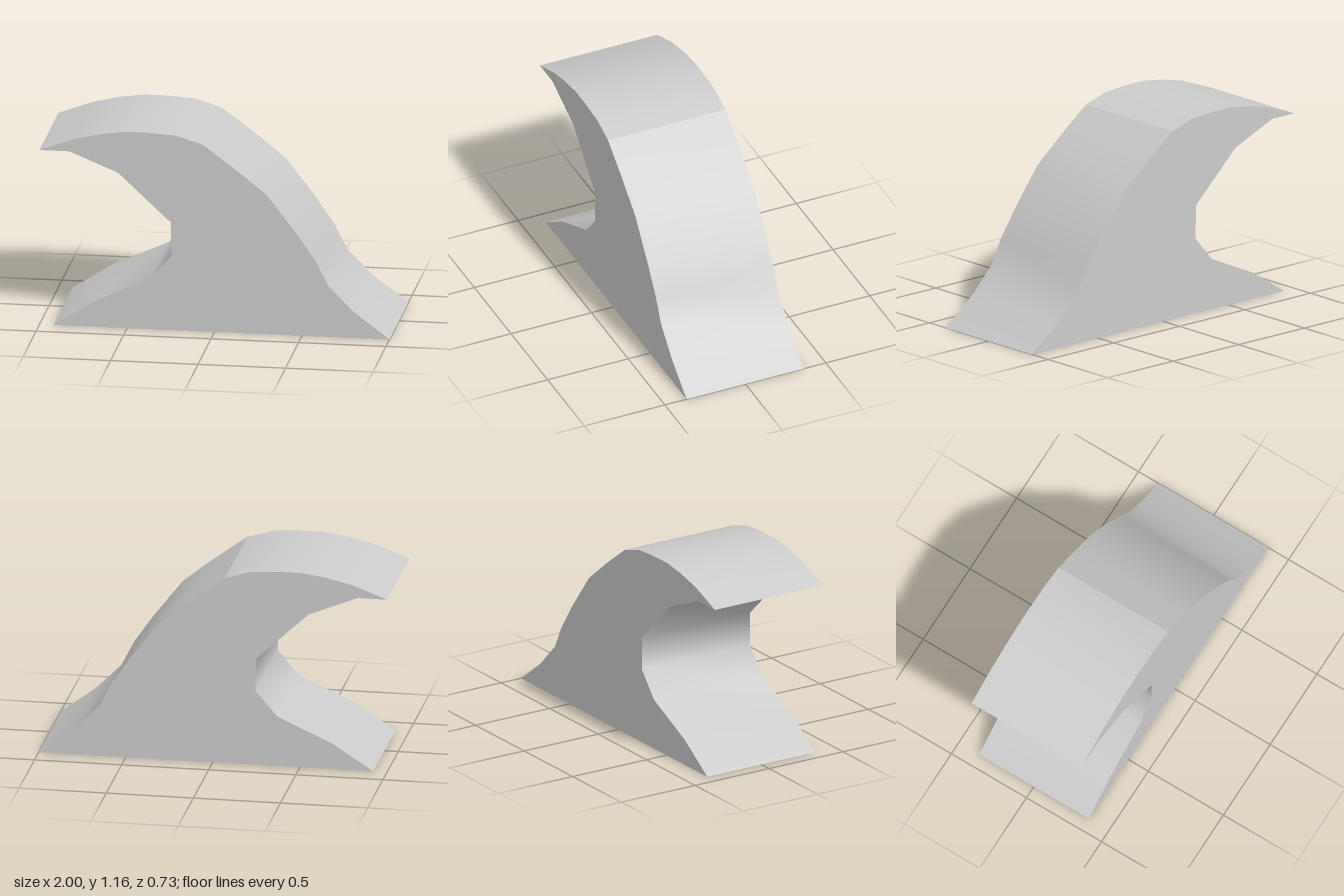
import * as THREE from 'three';

const DEPTH = 0.73;

// Wave profile as clockwise runs; each run is smooth, with a sharp edge where runs meet
const RUNS = {
  crest: [[-1, 1.03], [-0.8, 1.105], [-0.65, 1.14], [-0.51, 1.16], [-0.38, 1.16], [-0.22, 1.15], [-0.07, 1.105]],
  backSlope: [[-0.07, 1.105], [0.12, 0.965], [0.3, 0.82], [0.47, 0.6], [0.58, 0.44], [0.65, 0.3], [0.8, 0.15], [1, 0]],
  base: [[1, 0], [-0.92, 0]],
  hollow: [[-0.92, 0], [-0.69, 0.15], [-0.37, 0.295], [-0.245, 0.44], [-0.25, 0.635], [-0.55, 0.915], [-0.83, 1.03]],
  lipUnderside: [[-0.83, 1.03], [-1, 1.03]],
};

// Sweep a run of profile points across the depth
function strip(points) {
  const geo = new THREE.PlaneGeometry(1, DEPTH, points.length - 1, 1);
  const pos = geo.attributes.position;
  for (let i = 0; i < pos.count; i++) {
    const [x, y] = points[i % points.length];
    pos.setXYZ(i, x, y, -pos.getY(i));
  }
  geo.computeVertexNormals();
  return geo;
}

// Flat side wall; the back one is a mirrored outline turned around
function wall(outline, back) {
  const shape = new THREE.Shape(outline.map(([x, y]) => new THREE.Vector2(back ? -x : x, y)));
  const geo = new THREE.ShapeGeometry(shape);
  geo.translate(0, 0, DEPTH / 2);
  if (back) geo.rotateY(Math.PI);
  return geo;
}

export function createModel() {
  const group = new THREE.Group();
  group.name = 'wave';
  const material = new THREE.MeshStandardMaterial({ color: 0xcccccc });
  const add = (name, geometry) => {
    const mesh = new THREE.Mesh(geometry, material);
    mesh.name = name;
    group.add(mesh);
  };

  // Swept surfaces
  for (const [name, points] of Object.entries(RUNS)) add(name, strip(points));

  // Side walls
  const outline = Object.values(RUNS).flatMap((run) => run.slice(0, -1));
  add('frontWall', wall(outline, false));
  add('backWall', wall(outline, true));
  return group;
}
